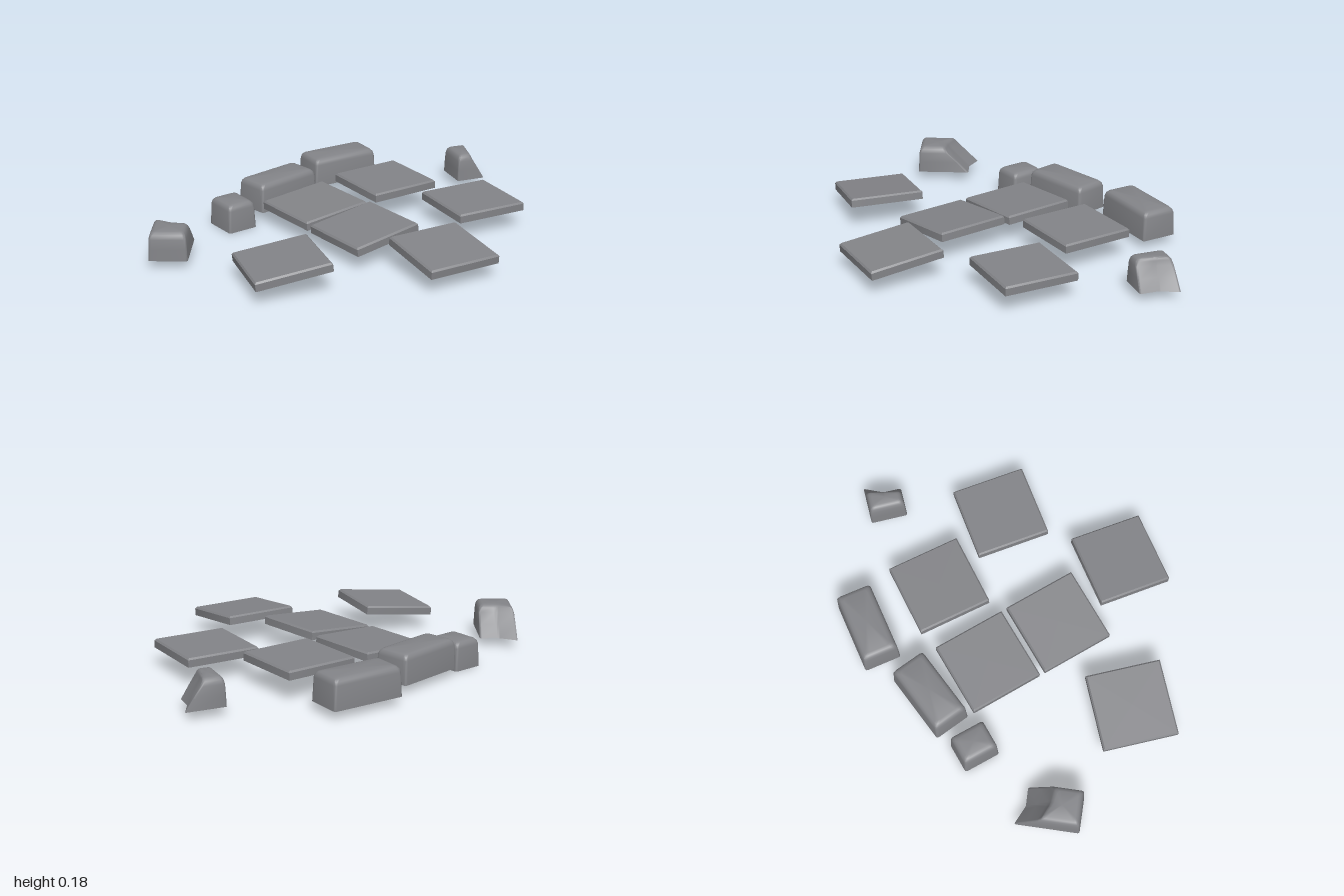
import * as THREE from 'three';
import { toCreasedNormals } from 'three/addons/utils/BufferGeometryUtils.js';

const stone = new THREE.MeshStandardMaterial({ color: 0x838488, side: THREE.DoubleSide });
stone.name = 'grey stone';

// Replaces every corner of an [x, z] polygon by a short curve of radius r
function roundCorners(corners, r, steps = 3) {
  const pts = corners.map(([x, z]) => new THREE.Vector2(x, z));
  const out = [];
  pts.forEach((p, i) => {
    const toward = (q) => {
      const d = q.clone().sub(p);
      return p.clone().addScaledVector(d, Math.min(r / d.length(), 0.45));
    };
    const a = toward(pts[(i + pts.length - 1) % pts.length]);
    const b = toward(pts[(i + 1) % pts.length]);
    const curve = new THREE.QuadraticBezierCurve(a, p, b);
    out.push(...curve.getPoints(steps));
  });
  return out;
}

// Skins a stack of outlines { y, corners, r }, closed on top and open below
function loft(levels, crease) {
  const rings = levels.map(({ y, corners, r }) =>
    roundCorners(corners, r).map((p) => new THREE.Vector3(p.x, y, p.y)));
  const n = rings[0].length;
  const tris = [];
  for (let k = 0; k < rings.length - 1; k++) {
    for (let i = 0; i < n; i++) {
      const j = (i + 1) % n;
      const a = rings[k][i], b = rings[k][j], c = rings[k + 1][j], d = rings[k + 1][i];
      tris.push(a, b, c, a, c, d);
    }
  }
  const top = rings[rings.length - 1];
  const centre = top.reduce((s, p) => s.add(p), new THREE.Vector3()).divideScalar(n);
  for (let i = 0; i < n; i++) tris.push(centre, top[i], top[(i + 1) % n]);
  const geometry = new THREE.BufferGeometry().setFromPoints(tris);
  return toCreasedNormals(geometry, crease);
}

const rect = (w, l) => [[-w / 2, l / 2], [w / 2, l / 2], [w / 2, -l / 2], [-w / 2, -l / 2]];

// Thin square paving slab with a narrow bevelled top edge
function slabGeometry() {
  const s = 0.356;
  return loft([
    { y: 0, corners: rect(s, s), r: 0.003 },
    { y: 0.034, corners: rect(s, s), r: 0.003 },
    { y: 0.042, corners: rect(s - 0.014, s - 0.014), r: 0.003 },
  ], 0.5);
}

// Whole kerb block with a rounded top
function blockGeometry(w, l, h) {
  const level = (y, inset, r) => ({ y, corners: rect(w - 2 * inset, l - 2 * inset), r });
  return loft([
    level(0, 0, 0.012),
    level(h - 0.03, 0.004, 0.014),
    level(h - 0.014, 0.008, 0.016),
    level(h - 0.004, 0.017, 0.018),
    level(h, 0.03, 0.018),
  ], 0.75);
}

// Broken kerb block: sound face at local z = 0, sloping notched break toward -z.
// low and high give the break's left, middle and right lengths at bottom and top.
function brokenGeometry(w, h, low, high) {
  const level = (y, t, inset, r) => {
    const [left, mid, right] = low.map((v, i) => THREE.MathUtils.lerp(v, high[i], t));
    const x = w / 2 - inset;
    return {
      y, r,
      corners: [[-x, -inset], [x, -inset], [x, -right], [0, -mid], [-x, -left]],
    };
  };
  return loft([
    level(0, 0, 0, 0.01),
    level(h * 0.4, 0.42, 0.002, 0.01),
    level(h * 0.75, 0.8, 0.004, 0.012),
    level(h - 0.014, 0.92, 0.009, 0.014),
    level(h - 0.004, 0.98, 0.017, 0.014),
    level(h, 1.08, 0.028, 0.014),
  ], 0.75);
}

export function createModel() {
  const group = new THREE.Group();
  group.name = 'stonePath';

  const place = (name, geometry, position, yaw, pitch = 0, roll = 0) => {
    const mesh = new THREE.Mesh(geometry, stone);
    mesh.name = name;
    mesh.position.set(...position);
    mesh.rotation.set(pitch, yaw, roll, 'YXZ');
    group.add(mesh);
  };

  // Paving slabs, some of them sunk at one edge
  const slab = slabGeometry();
  place('backRightSlab', slab, [0.185, 0.09, -0.525], -0.17);
  place('backLeftSlab', slab, [-0.26, 0.105, -0.342], -0.07);
  place('middleLeftSlab', slab, [-0.25, 0.085, 0.097], 0, 0.06);
  place('middleSlab', slab, [0.133, 0.09, 0.097], 0, 0.1);
  place('outerSlab', slab, [0.55, 0.09, -0.022], -0.135, 0, -0.1);
  place('frontSlab', slab, [0.215, 0.09, 0.62], -0.305, 0.115);

  // Kerb blocks along the edge
  const kerb = blockGeometry(0.178, 0.355, 0.14);
  place('backKerb', kerb, [-0.648, 0.04, -0.34], -0.115);
  place('frontKerb', kerb, [-0.56, 0.04, 0.097], 0.105);
  place('smallKerb', blockGeometry(0.178, 0.152, 0.137), [-0.502, 0, 0.405], -0.02);

  // Broken kerb pieces lying apart
  place('frontBrokenKerb', brokenGeometry(0.178, 0.135, [0.3, 0.258, 0.26], [0.175, 0.14, 0.13]),
    [-0.24, 0.04, 0.93], 0.89);
  place('backBrokenKerb', brokenGeometry(0.178, 0.135, [0.19, 0.148, 0.147], [0.1, 0.085, 0.07]),
    [-0.283, 0.04, -0.8], -0.285);

  return group;
}
